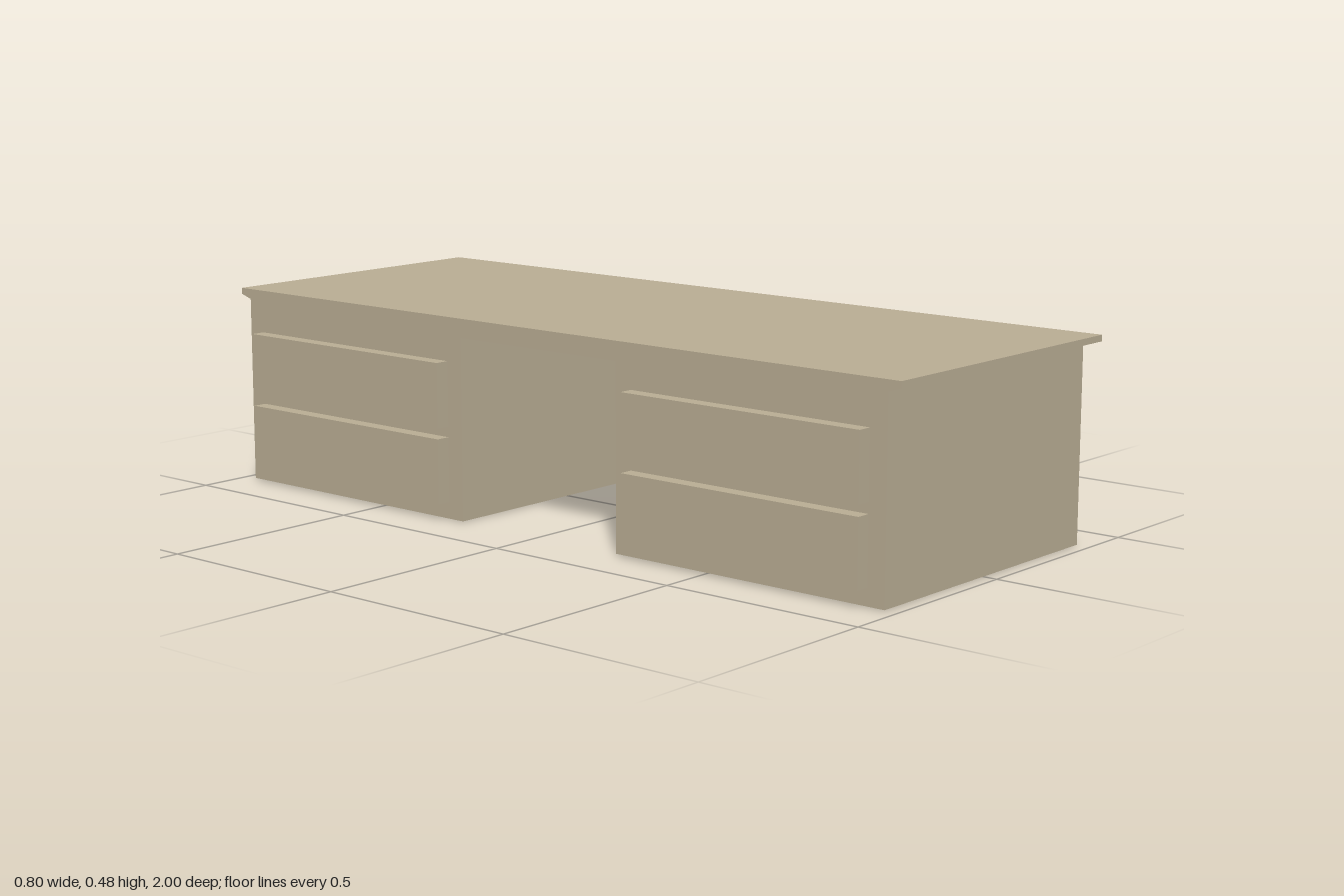
import * as THREE from 'three';

export function createModel() {
  const desk = new THREE.Group();
  desk.name = 'desk';
  const wood = new THREE.MeshStandardMaterial({ color: 0xb9ad94 });
  wood.name = 'taupe wood';
  const pale = new THREE.MeshStandardMaterial({ color: 0xe0e3e0 });
  pale.name = 'pale grey';

  // Box given by its two opposite corners
  function block(name, [x0, y0, z0], [x1, y1, z1], parent = desk) {
    const geometry = new THREE.BoxGeometry(x1 - x0, y1 - y0, z1 - z0);
    geometry.translate((x0 + x1) / 2, (y0 + y1) / 2, (z0 + z1) / 2);
    const mesh = new THREE.Mesh(geometry, wood);
    mesh.name = name;
    parent.add(mesh);
    return mesh;
  }

  // Pale sheet facing down
  function sheet(name, y, [x0, x1], [z0, z1], parent) {
    const geometry = new THREE.PlaneGeometry(x1 - x0, z1 - z0);
    geometry.rotateX(Math.PI / 2);
    geometry.translate((x0 + x1) / 2, y, (z0 + z1) / 2);
    const mesh = new THREE.Mesh(geometry, pale);
    mesh.name = name;
    parent.add(mesh);
  }

  const back = -0.365, front = 0.375, paleEdge = 0.165;

  // L-shaped pale area on an underside: along the front and the +z end
  function paleUnderside(y, z0, zEdge, z1, parent = desk) {
    sheet('paleFrontStrip', y, [paleEdge, front], [z0, z1], parent);
    sheet('paleEndStrip', y, [back, paleEdge], [zEdge, z1], parent);
  }

  // Desktop slab with an overhang on three sides, flush on the drawer side
  block('desktop', [back, 0.465, -1], [0.4, 0.48, 1]);

  // Sloped moulding below the slab: the lower edge is drawn in on three sides
  const moulding = block('moulding', [back, 0.455, -1], [0.4, 0.465, 1]);
  const p = moulding.geometry.attributes.position;
  for (let i = 0; i < p.count; i++) {
    if (p.getY(i) > 0.46) continue;
    if (p.getX(i) > 0) p.setX(i, front);
    p.setZ(i, Math.sign(p.getZ(i)) * 0.968);
  }
  moulding.geometry = moulding.geometry.toNonIndexed();
  moulding.geometry.computeVertexNormals();
  moulding.material = [wood, wood, wood, wood, wood, pale];

  // Rail across the knee space
  block('rail', [back, 0.435, -0.968], [front, 0.455, 0.968]);
  paleUnderside(0.434, -0.238, 0.15, 0.238);

  // Two pedestals, each with two drawer fronts
  for (const side of [-1, 1]) {
    const unit = new THREE.Group();
    unit.name = side > 0 ? 'frontPedestal' : 'backPedestal';
    desk.add(unit);
    const span = (a, b) => (side > 0 ? [a, b] : [-b, -a]);
    const [z0, z1] = span(0.238, 0.968);
    block('cabinet', [back, 0.001, z0], [front, 0.435, z1], unit);
    paleUnderside(0, z0, z1 - 0.145, z1, unit);
    const [d0, d1] = span(0.282, 0.924);
    for (const [y0, y1] of [[0.041, 0.196], [0.221, 0.376]]) {
      block('drawerFront', [-0.4, y0, d0], [back, y1, d1], unit);
    }
  }
  return desk;
}
